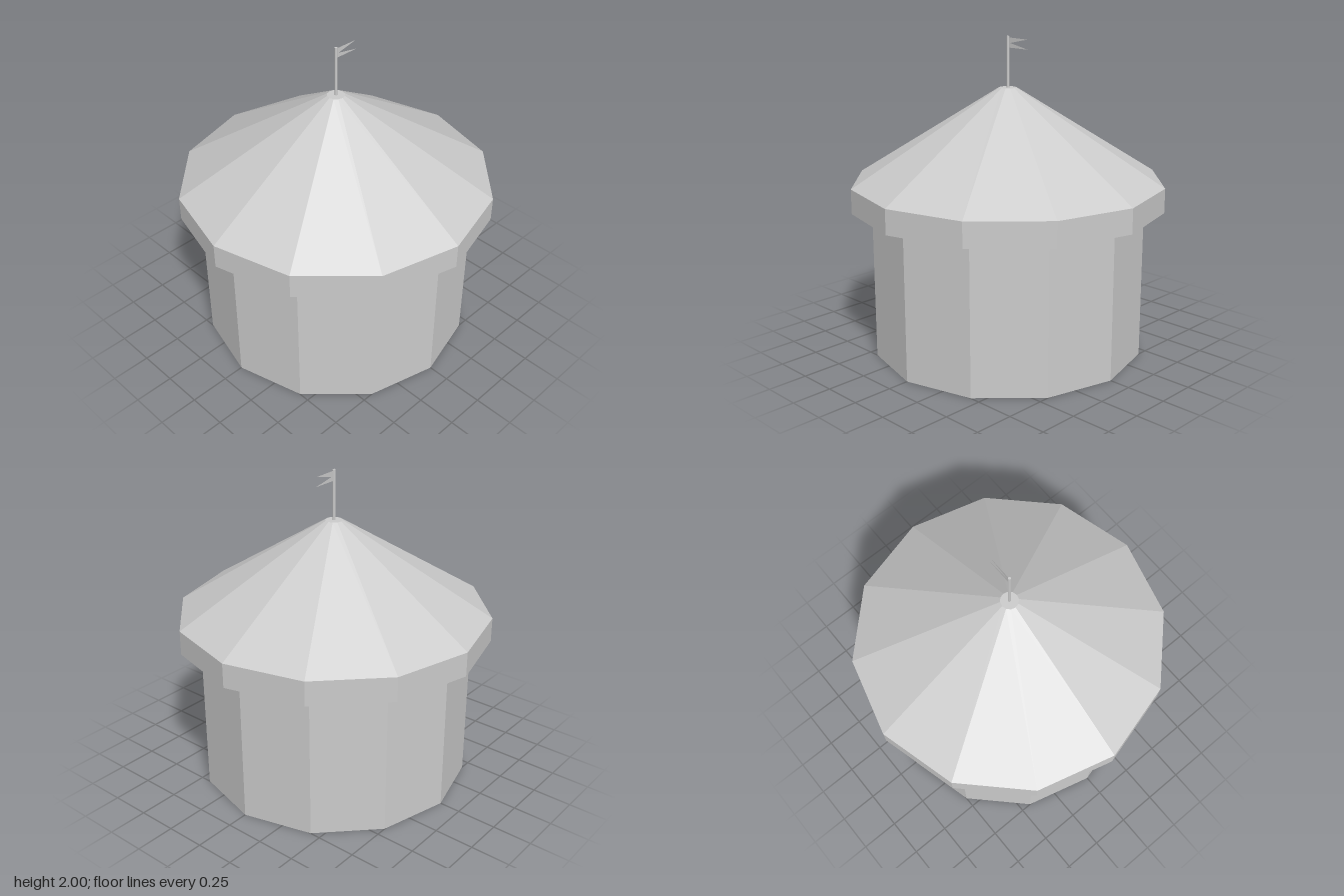
import * as THREE from 'three';

const SIDES = 12;

// Turns a list of [radius, height] pairs into a faceted surface of revolution
function turned(name, profile, material, sides = SIDES) {
  const points = profile.map(([r, y]) => new THREE.Vector2(r, y));
  const mesh = new THREE.Mesh(new THREE.LatheGeometry(points, sides), material);
  mesh.name = name;
  return mesh;
}

export function createModel() {
  const group = new THREE.Group();
  group.name = 'roundTent';
  const cloth = new THREE.MeshStandardMaterial({
    color: 0xcccccc, flatShading: true, side: THREE.DoubleSide,
  });

  // Thin wall, open at the ground
  group.add(turned('wall', [[0.865, 0], [0.865, 0.945]], cloth));

  // Overhanging eave, upright valance, sloping roof and small flat top
  group.add(turned('roof', [
    [0.865, 0.945], [0.99, 0.945], [0.99, 1.1], [0.055, 1.685], [0, 1.685],
  ], cloth));

  // Flagpole
  const pole = new THREE.Mesh(new THREE.CylinderGeometry(0.009, 0.009, 0.32, 8), cloth);
  pole.name = 'flagpole';
  pole.position.y = 1.84;
  group.add(pole);

  // Swallow-tailed pennant
  const outline = new THREE.Shape([
    [0, 1.93], [0.17, 1.928], [0.02, 1.958], [0.163, 1.988], [0, 1.992],
  ].map(([x, y]) => new THREE.Vector2(x, y)));
  const flag = new THREE.Mesh(new THREE.ShapeGeometry(outline), cloth);
  flag.name = 'flag';
  group.add(flag);

  return group;
}
